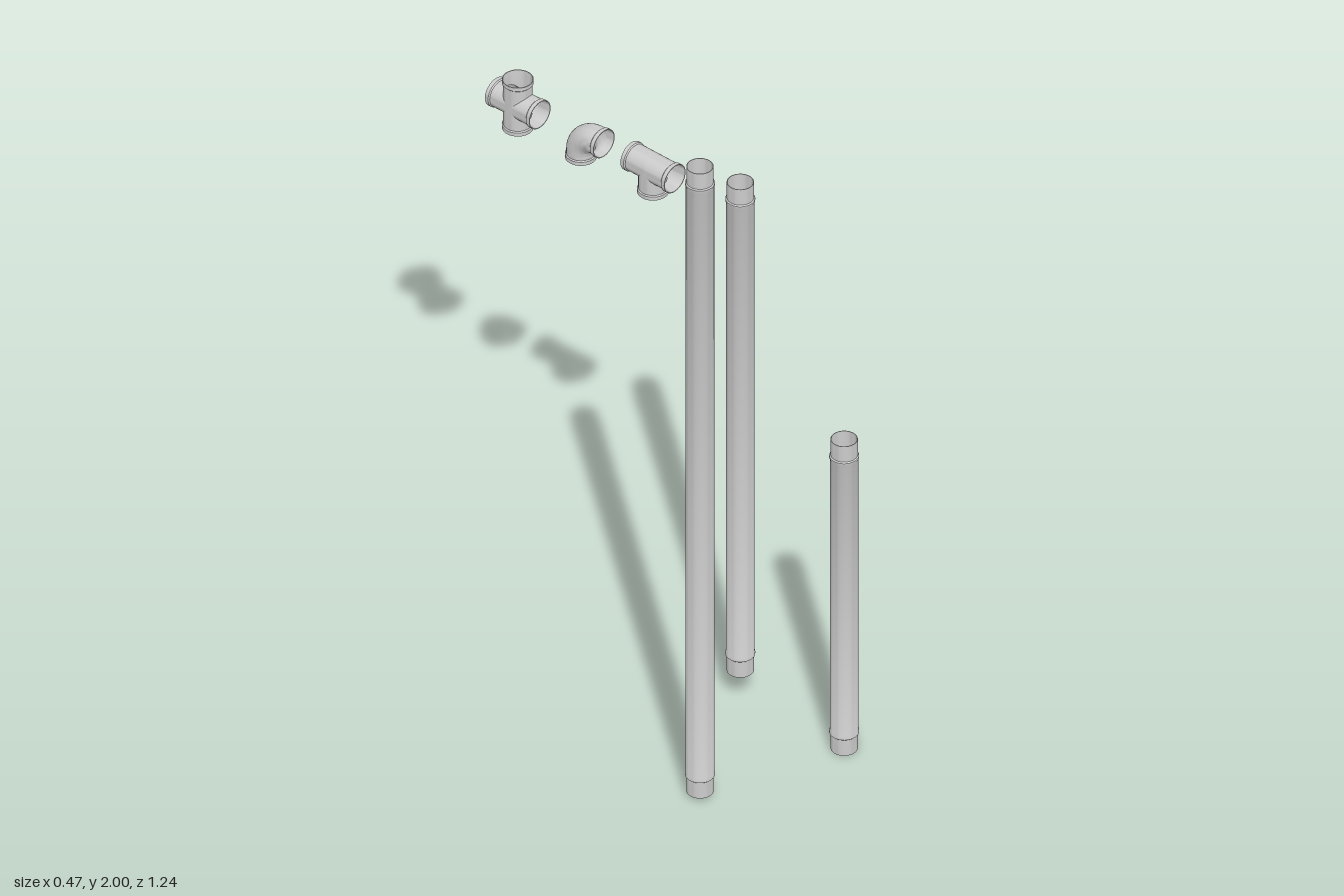
import * as THREE from 'three';
import { toCreasedNormals } from 'three/addons/utils/BufferGeometryUtils.js';

const material = new THREE.MeshStandardMaterial({ color: 0xcccccc, side: THREE.DoubleSide });
const SIDES = 32;
const BORE = 0.0368, BODY = 0.038, RIM = 0.041;

function lathe(points) {
  return new THREE.LatheGeometry(points.map(([r, y]) => new THREE.Vector2(r, y)), SIDES);
}

function addMesh(parent, geometry, name) {
  const mesh = new THREE.Mesh(toCreasedNormals(geometry, 0.6), material);
  mesh.name = name;
  parent.add(mesh);
  return mesh;
}

// Hollow straight pipe with narrower ends and a small bead where each end begins
function pipe(name, x, z, y0, y1) {
  const end = 0.055, inner = 0.0335, spigot = 0.0352, body = 0.037, bead = 0.0385;
  const h = y1 - y0;
  const half = [[inner, 0], [spigot, 0], [spigot, end - 0.006], [bead, end - 0.003],
    [bead, end + 0.003], [body, end + 0.006]];
  const upper = half.map(([r, y]) => [r, h - y]).reverse();
  const group = new THREE.Group();
  group.name = name;
  addMesh(group, lathe([...half, ...upper, [inner, 0]]), name + 'Tube');
  group.position.set(x, y0, z);
  return group;
}

// Hollow socket along +y with a raised rim; meet(x) shapes its inner end
function socket(parent, name, start, length, angle, meet = () => 0) {
  const geometry = lathe([
    [BODY, start], [BODY, length - 0.014], [RIM, length - 0.011], [RIM, length],
    [0.0388, length], [BORE, length - 0.025], [BORE, start],
  ]);
  const p = geometry.attributes.position;
  for (let i = 0; i < p.count; i++) {
    if (Math.abs(p.getY(i) - start) < 1e-6) p.setY(i, start + meet(p.getZ(i)));
  }
  const mesh = addMesh(parent, geometry, name);
  mesh.rotation.x = angle;
  return mesh;
}

function fitting(name, y, z) {
  const group = new THREE.Group();
  group.name = name;
  group.position.set(0.188, y, z);
  return group;
}

// Three-way fitting: run along z, branch pointing down
function tee() {
  const g = fitting('teeFitting', 1.534, -0.075);
  socket(g, 'frontSocket', 0, 0.076, Math.PI / 2, (s) => Math.max(s, 0));
  socket(g, 'backSocket', 0, 0.076, -Math.PI / 2, (s) => Math.max(-s, 0));
  socket(g, 'lowerSocket', 0, 0.077, Math.PI, Math.abs);
  return g;
}

// Four-way fitting with mitred arms along y and z
function cross() {
  const g = fitting('crossFitting', 1.508, -0.544);
  ['upperSocket', 'frontSocket', 'lowerSocket', 'backSocket'].forEach((name, i) =>
    socket(g, name, 0, 0.077, i * Math.PI / 2, Math.abs));
  return g;
}

// Quarter-turn fitting opening to the front and downwards
function elbow() {
  const R = 0.055;
  const g = fitting('elbowFitting', 1.525, -0.325);
  socket(g, 'frontSocket', R, 0.08, Math.PI / 2);
  socket(g, 'lowerSocket', R, 0.08, Math.PI);
  for (const [r, name] of [[BODY, 'bendOutside'], [BORE, 'bendInside']]) {
    const bend = addMesh(g, new THREE.TorusGeometry(R, r, SIDES, 16, Math.PI / 2), name);
    bend.rotation.y = Math.PI / 2;
    bend.position.set(0, -R, R);
  }
  return g;
}

export function createModel() {
  const model = new THREE.Group();
  model.name = 'pipesAndFittings';
  model.add(
    pipe('longPipe', -0.2, 0.439, 0.01, 2),
    pipe('mediumPipe', 0.189, 0.227, 0.08, 1.635),
    pipe('shortPipe', 0.197, 0.58, 0, 0.985),
    tee(), elbow(), cross(),
  );
  return model;
}
